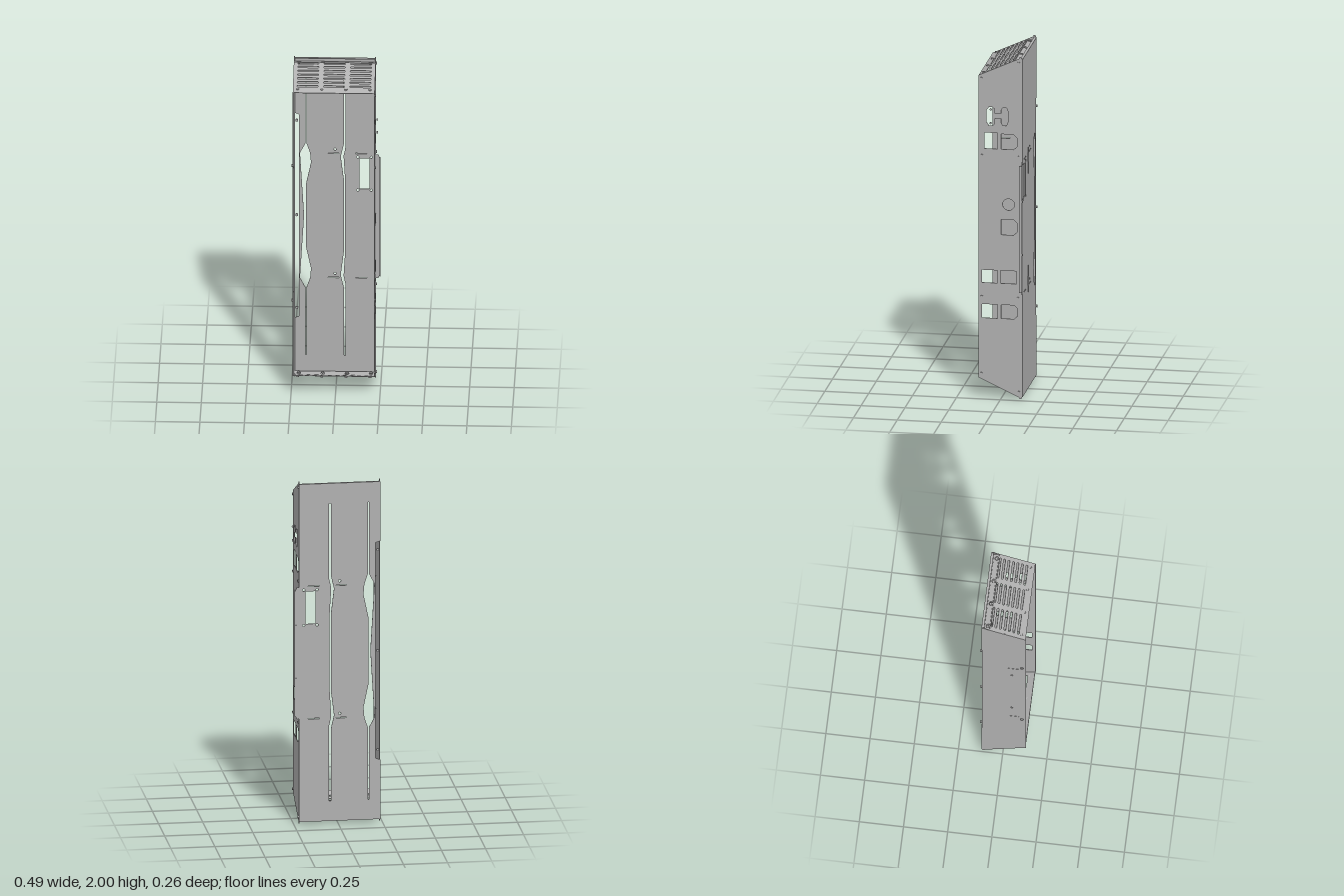
import * as THREE from 'three';

const metal = new THREE.MeshStandardMaterial({ color: 0xb0b0b0 });
metal.name = 'sheetMetal';
const T = 0.004; // sheet thickness

const poly = (pts) => pts.map(([x, y]) => new THREE.Vector2(x, y));
const rect = (x0, x1, y0, y1) => poly([[x0, y0], [x1, y0], [x1, y1], [x0, y1]]);
const circle = (x, y, r) => new THREE.Path().absarc(x, y, r, 0, Math.PI * 2).getPoints(6);

// Horizontal slot with round ends
function slot(x0, x1, y, h) {
  const r = h / 2;
  const p = new THREE.Path();
  p.absarc(x1 - r, y, r, -Math.PI / 2, Math.PI / 2);
  p.absarc(x0 + r, y, r, Math.PI / 2, Math.PI * 1.5);
  return p.getPoints(5);
}

// Flat sheet with cutouts, extruded to the sheet thickness
function sheet(name, outline, holes) {
  const shape = new THREE.Shape(outline);
  shape.holes = holes.map((h) => new THREE.Path(h));
  const geo = new THREE.ExtrudeGeometry(shape, { depth: T, bevelEnabled: false });
  const mesh = new THREE.Mesh(geo, metal);
  mesh.name = name;
  return mesh;
}

// Round screw head along the given axis
function screw(parent, axis, x, y, z, r = 0.008) {
  const m = new THREE.Mesh(new THREE.CylinderGeometry(r, r, 0.008, 12), metal);
  m.name = 'screwHead';
  if (axis === 'x') m.rotation.z = Math.PI / 2;
  if (axis === 'z') m.rotation.x = Math.PI / 2;
  m.position.set(x, y, z);
  parent.add(m);
}

// Mirrors a half profile (y >= 1) about y = 1, keeping point order
const mirrorY = (pts) => [...pts, ...pts.slice().reverse().map(([x, y]) => [x, 2 - y])];

function backPlate() {
  const outline = poly(mirrorY([
    [0.245, 1.36], [0.232, 1.385], [0.22, 1.385], [0.22, 1.985],
    [-0.24, 1.985], [-0.24, 1.64], [-0.213, 1.63],
  ]).map((p) => p));
  // Long left slot that widens into a bow tie
  const leftSlot = poly([
    ...mirrorY([[-0.184, 1.0], [-0.207, 1.39], [-0.176, 1.45], [-0.176, 1.87]]).slice(4),
    ...[[-0.184, 1.0], [-0.207, 1.39], [-0.176, 1.45], [-0.176, 1.87]].slice(1),
    [-0.17, 1.87], [-0.17, 1.45], [-0.15, 1.39], [-0.145, 1.33], [-0.172, 1.2],
    [-0.172, 0.8], [-0.145, 0.67], [-0.15, 0.61], [-0.17, 0.55], [-0.17, 0.13],
  ].filter((p, i, a) => i === 0 || p[0] !== a[i - 1][0] || p[1] !== a[i - 1][1]));
  // Long middle slot with kinks at the fold lines
  const half = [[0.04, 1.22], [0.022, 1.37], [0.04, 1.45], [0.04, 1.87]];
  const other = [[0.05, 1.87], [0.05, 1.43], [0.038, 1.375], [0.047, 1.22]];
  const middleSlot = poly([...half, ...other,
    ...other.slice().reverse().map(([x, y]) => [x, 2 - y]),
    ...half.slice().reverse().map(([x, y]) => [x, 2 - y])]);
  const holes = [leftSlot, middleSlot, rect(0.127, 0.185, 1.17, 1.36)];
  for (const x of [0.118, 0.194]) for (const y of [1.162, 1.368]) holes.push(circle(x, y, 0.007));
  for (const y of [0.615, 1.39]) {
    holes.push(rect(-0.05, 0.012, y - 0.002, y + 0.002), rect(0.105, 0.17, y - 0.002, y + 0.002));
  }
  for (const y of [0.64, 1.415]) holes.push(circle(-0.01, y, 0.007));
  const m = sheet('backPlate', outline, holes);
  m.position.z = -0.122;
  return m;
}

// Side outline in z, y
const sideOutline = poly([
  [0.13, 0.117], [0.13, 1.883], [-0.1, 1.989], [-0.106, 2], [-0.118, 1.995],
  [-0.118, 0.005], [-0.106, 0], [-0.1, 0.011],
]);

// Opening with clipped corners on the rear side
const dShape = (z0, z1, y0, y1) => poly([
  [z1, y0], [z1, y1], [z0 + 0.02, y1], [z0, y1 - 0.018], [z0, y0 + 0.018], [z0 + 0.02, y0],
]);

function rightWall() {
  const holes = [
    poly([
      [0.04, 1.60], [0.05, 1.592], [0.07, 1.592], [0.085, 1.615], [0.085, 1.68], [0.07, 1.70],
      [0.05, 1.70], [0.037, 1.69], [0.037, 1.665], [0, 1.665], [0, 1.685], [-0.01, 1.70],
      [-0.03, 1.70], [-0.042, 1.67], [-0.042, 1.625], [-0.03, 1.595], [-0.01, 1.595],
      [0, 1.61], [0, 1.635], [0.037, 1.635],
    ]),
    rect(0.02, 0.095, 1.457, 1.55), dShape(-0.09, 0, 1.457, 1.545),
    circle(-0.042, 1.135, 0.034), dShape(-0.09, 0, 0.957, 1.047),
    rect(0.02, 0.11, 0.673, 0.747), rect(-0.087, 0.005, 0.673, 0.747),
    rect(0.02, 0.11, 0.467, 0.547), dShape(-0.093, 0, 0.467, 0.547),
  ];
  const m = sheet('rightWall', sideOutline, holes);
  m.rotation.y = -Math.PI / 2;
  m.position.x = 0.22;
  return m;
}

function leftWall() {
  const holes = [];
  for (const y of [0.615, 1.39]) holes.push(rect(0.03, 0.09, y - 0.002, y + 0.002));
  for (const y of [0.75, 1.28]) holes.push(circle(0.05, y, 0.007));
  const m = sheet('leftWall', sideOutline, holes);
  m.rotation.y = -Math.PI / 2;
  m.position.x = -0.236;
  return m;
}

// Sloped vent panel with its rear tab and lip
function ventCap(name) {
  const g = new THREE.Group();
  g.name = name;
  const a = Math.atan(0.46), k = 1 / Math.cos(a);
  const holes = [];
  for (const z of [-0.067, -0.043, -0.018, 0.008, 0.033, 0.058, 0.084]) {
    for (const [x0, x1] of [[-0.217, -0.098], [-0.07, 0.05], [0.078, 0.198]]) {
      holes.push(slot(x0, x1, z * k, 0.0115));
    }
  }
  const panel = sheet('ventPanel', rect(-0.236, 0.216, -0.075 * k, 0.128 * k), holes);
  panel.rotation.x = Math.PI / 2 + a;
  panel.position.y = 1.943;
  g.add(panel);

  const xs = [-0.213, -0.078, 0.058, 0.193];
  const tab = sheet('rearTab', poly([[-0.236, -0.108], [0.216, -0.108], [0.216, -0.082],
    [0.208, -0.071], [-0.228, -0.071], [-0.236, -0.082]]), xs.map((x) => circle(x, -0.088, 0.011)));
  tab.rotation.x = Math.PI / 2 - 0.15;
  tab.position.y = 1.985;
  g.add(tab);

  const lip = new THREE.Mesh(new THREE.BoxGeometry(0.46, T, 0.015), metal);
  lip.name = 'rearLip';
  lip.position.set(-0.01, 1.985, -0.1145);
  g.add(lip);

  for (const x of xs) {
    screw(g, 'y', x, 1.963, -0.088, 0.0075);
    screw(g, 'y', x, 1.896, 0.103);
  }
  return g;
}

export function createModel() {
  const model = new THREE.Group();
  model.name = 'ventedEnclosure';
  model.add(backPlate(), rightWall(), leftWall(), ventCap('topVent'));

  // Bottom vent is the top one turned half around
  const bottom = ventCap('bottomVent');
  bottom.rotation.z = Math.PI;
  bottom.position.set(-0.02, 2, 0);
  model.add(bottom);

  // Narrow lip along the side flange
  const flangeLip = new THREE.Mesh(new THREE.BoxGeometry(T, 0.74, 0.012), metal);
  flangeLip.name = 'flangeLip';
  flangeLip.position.set(0.243, 1, -0.113);
  model.add(flangeLip);

  // Screws on the walls and the back
  const screws = new THREE.Group();
  screws.name = 'screws';
  for (const [z, y] of [[0.113, 1.865], [-0.1, 1.965], [0.11, 1.415], [-0.095, 1.415],
    [0.11, 0.59], [-0.095, 0.59], [0.113, 0.14], [-0.1, 0.04]]) screw(screws, 'x', 0.222, y, z);
  for (const y of [1.61, 1.69]) screw(screws, 'x', 0.232, y, 0.058, 0.006);
  for (const y of [0.58, 1.42]) screw(screws, 'x', -0.243, y, 0.108);
  for (const y of [0.42, 1, 1.59]) screw(screws, 'z', -0.225, y, -0.125);
  for (const y of [0.85, 1.16]) screw(screws, 'z', 0.238, y, -0.122, 0.006);
  model.add(screws);
  return model;
}
